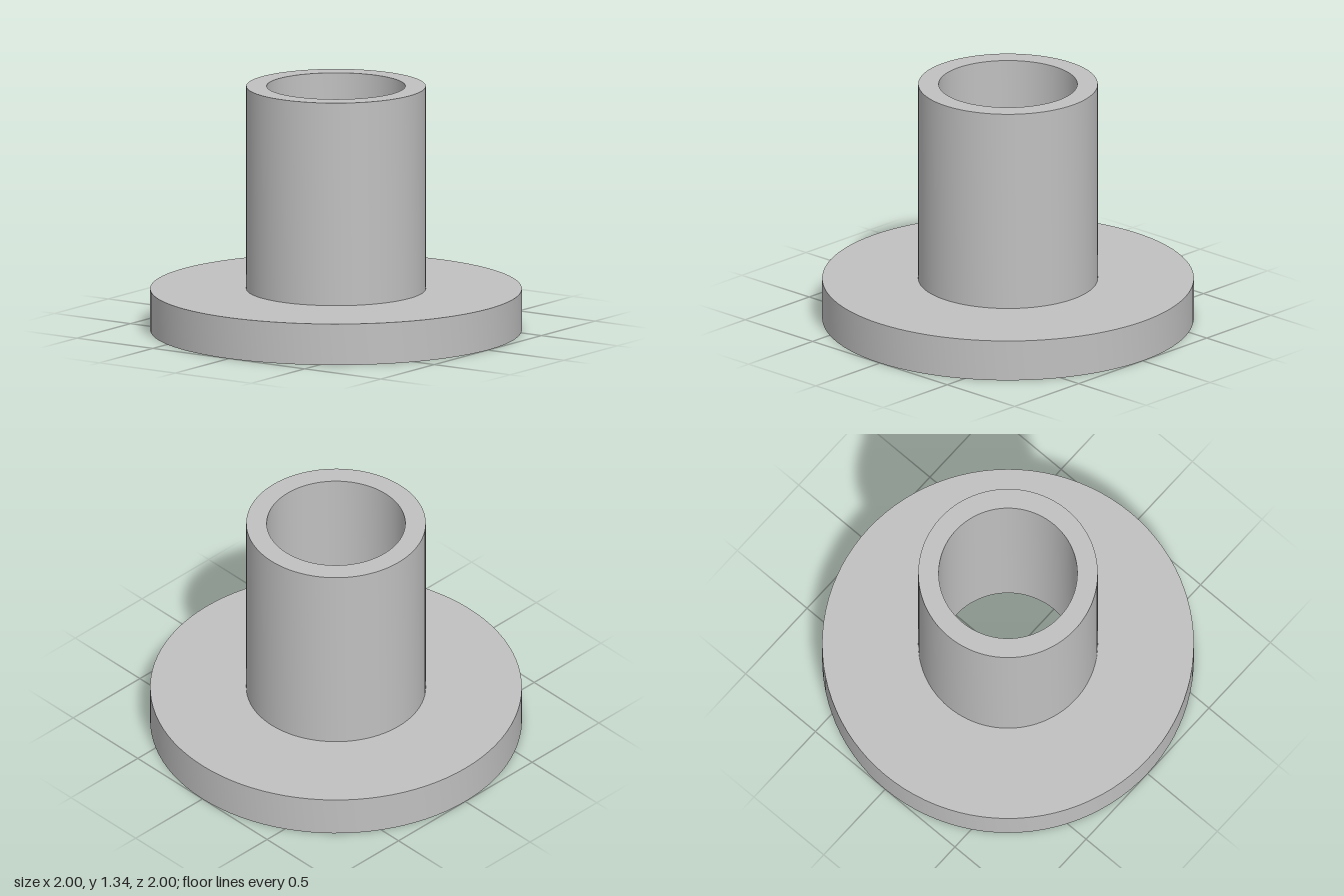
import * as THREE from 'three';
import { toCreasedNormals } from 'three/addons/utils/BufferGeometryUtils.js';

const BORE = 0.373, TUBE = 0.483, FLANGE = 1;
const FLANGE_TOP = 0.225, HEIGHT = 1.335;

export function createModel() {
  const group = new THREE.Group();
  group.name = 'flangedBushing';
  const grey = new THREE.MeshStandardMaterial({ color: 0xc0c0c0 });
  grey.name = 'plain grey';

  // Revolve a profile of [radius, height] points, keeping its corners sharp
  const revolve = (name, profile) => {
    const points = profile.map(([r, y]) => new THREE.Vector2(r, y));
    const geometry = toCreasedNormals(new THREE.LatheGeometry(points, 96), 0.5);
    const mesh = new THREE.Mesh(geometry, grey);
    mesh.name = name;
    group.add(mesh);
  };

  // Wide disc: underside, rim and upper face
  revolve('flange', [[BORE, 0], [FLANGE, 0], [FLANGE, FLANGE_TOP], [TUBE, FLANGE_TOP]]);

  // Hollow tube: outer wall, top ring and bore through to the underside
  revolve('sleeve', [[TUBE, FLANGE_TOP], [TUBE, HEIGHT], [BORE, HEIGHT], [BORE, 0]]);

  return group;
}
